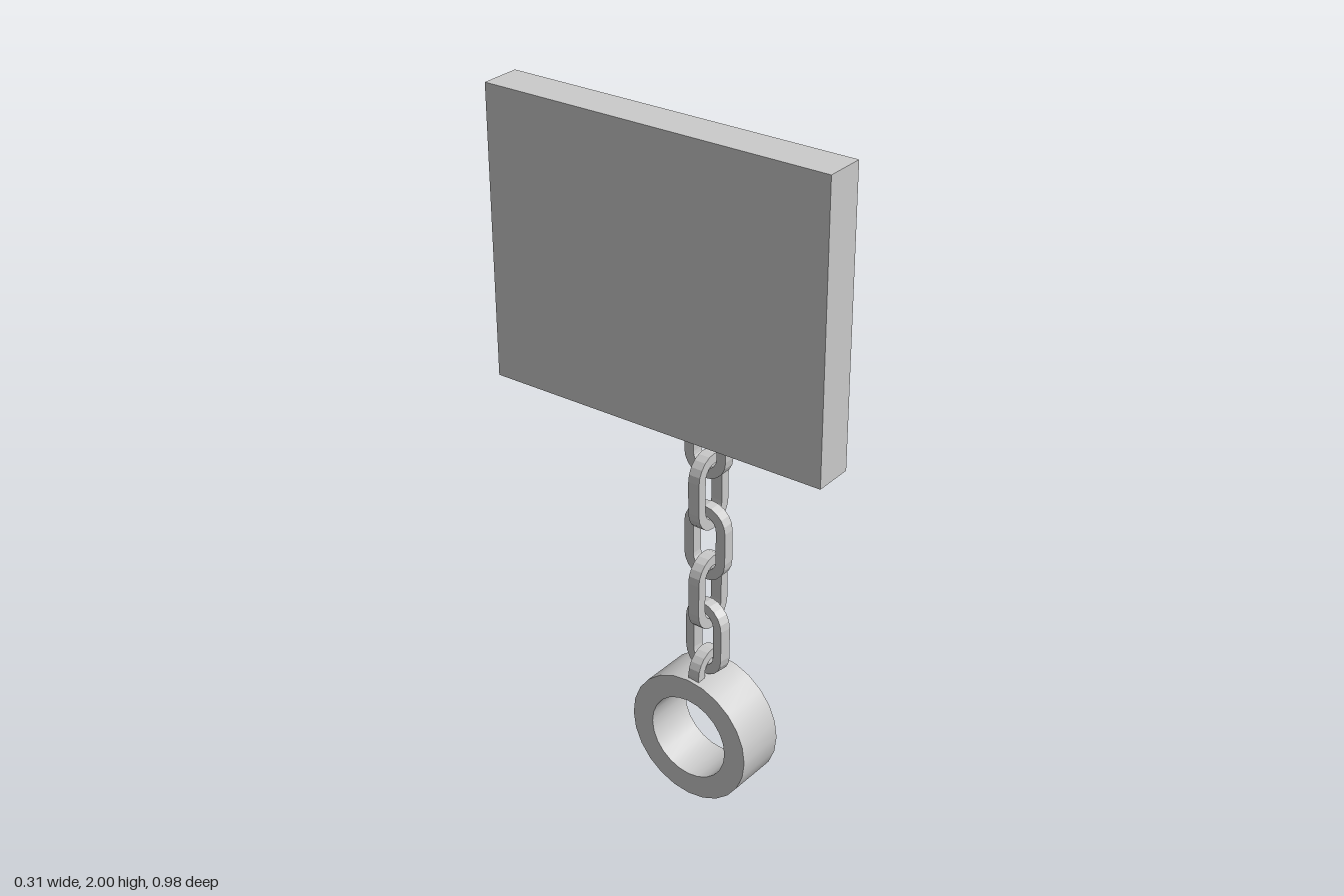
import * as THREE from 'three';
import { toCreasedNormals } from 'three/addons/utils/BufferGeometryUtils.js';

const material = new THREE.MeshStandardMaterial({ color: 0xcccccc });
const DEPTH = 0.034;

function extrude(shape, depth, curveSegments) {
  const g = new THREE.ExtrudeGeometry(shape, { depth, curveSegments, bevelEnabled: false });
  return g.translate(0, 0, -depth / 2);
}

// Closed outline with straight sides and rounded ends
function stadium(path, radius, half) {
  path.absarc(0, half, radius, 0, Math.PI);
  path.absarc(0, -half, radius, Math.PI, Math.PI * 2);
  path.closePath();
  return path;
}

// Upside-down U with its bend centred on the origin
function arch(outer, inner, leg) {
  const s = new THREE.Shape();
  s.moveTo(outer, -leg);
  s.absarc(0, 0, outer, 0, Math.PI);
  s.lineTo(-outer, -leg);
  s.lineTo(-inner, -leg);
  s.absarc(0, 0, inner, Math.PI, 0, true);
  s.lineTo(inner, -leg);
  s.closePath();
  return s;
}

export function createModel() {
  const model = new THREE.Group();
  model.name = 'wallShackle';
  const add = (name, geometry, x, y, z) => {
    const mesh = new THREE.Mesh(geometry, material);
    mesh.name = name;
    mesh.position.set(x, y, z);
    model.add(mesh);
    return mesh;
  };

  // Wall plate
  add('wallPlate', new THREE.BoxGeometry(0.11, 0.78, 0.98), -0.1, 1.61, 0);

  // Staple: arch lying flat, bend pointing away from the plate
  const staple = extrude(arch(0.091, 0.045, 0.05), 0.045, 5);
  staple.rotateZ(-Math.PI / 2).rotateX(Math.PI / 2);
  add('staple', staple, -0.005, 1.594, 0.002);

  // Chain: eight links alternating between the two planes
  const linkShape = stadium(new THREE.Shape(), 0.065, 0.046);
  linkShape.holes.push(stadium(new THREE.Path(), 0.036, 0.046));
  const linkGeometry = extrude(linkShape, DEPTH, 5);
  for (let i = 0; i < 8; i++) {
    const y = i === 0 ? 1.55 : 1.407 - (i - 1) * 0.153;
    const link = add('chainLink' + (i + 1), linkGeometry, i === 0 ? 0.057 : 0.07, y, 0.008);
    if (i % 2) link.rotation.y = Math.PI / 2;
    if (i === 0) link.rotation.z = 0.23; // leans on the staple
    if (i === 7) {
      link.position.y = 0.495;
      link.rotation.y -= 0.15;
    }
  }

  // Cuff with its loop
  add('cuffLoop', extrude(arch(0.062, 0.034, 0.045), DEPTH, 5), 0.07, 0.395, 0.006);
  const ring = new THREE.Shape().absarc(0, 0, 0.191, 0, Math.PI * 2);
  ring.holes.push(new THREE.Path().absarc(0, 0, 0.124, 0, Math.PI * 2));
  const cuffGeometry = toCreasedNormals(extrude(ring, 0.147, 12), 0.6).rotateY(Math.PI / 2);
  const cuff = add('cuff', cuffGeometry, 0.072, 0.195, -0.003);
  cuff.rotation.set(0, -0.03, 0.01);

  return model;
}
